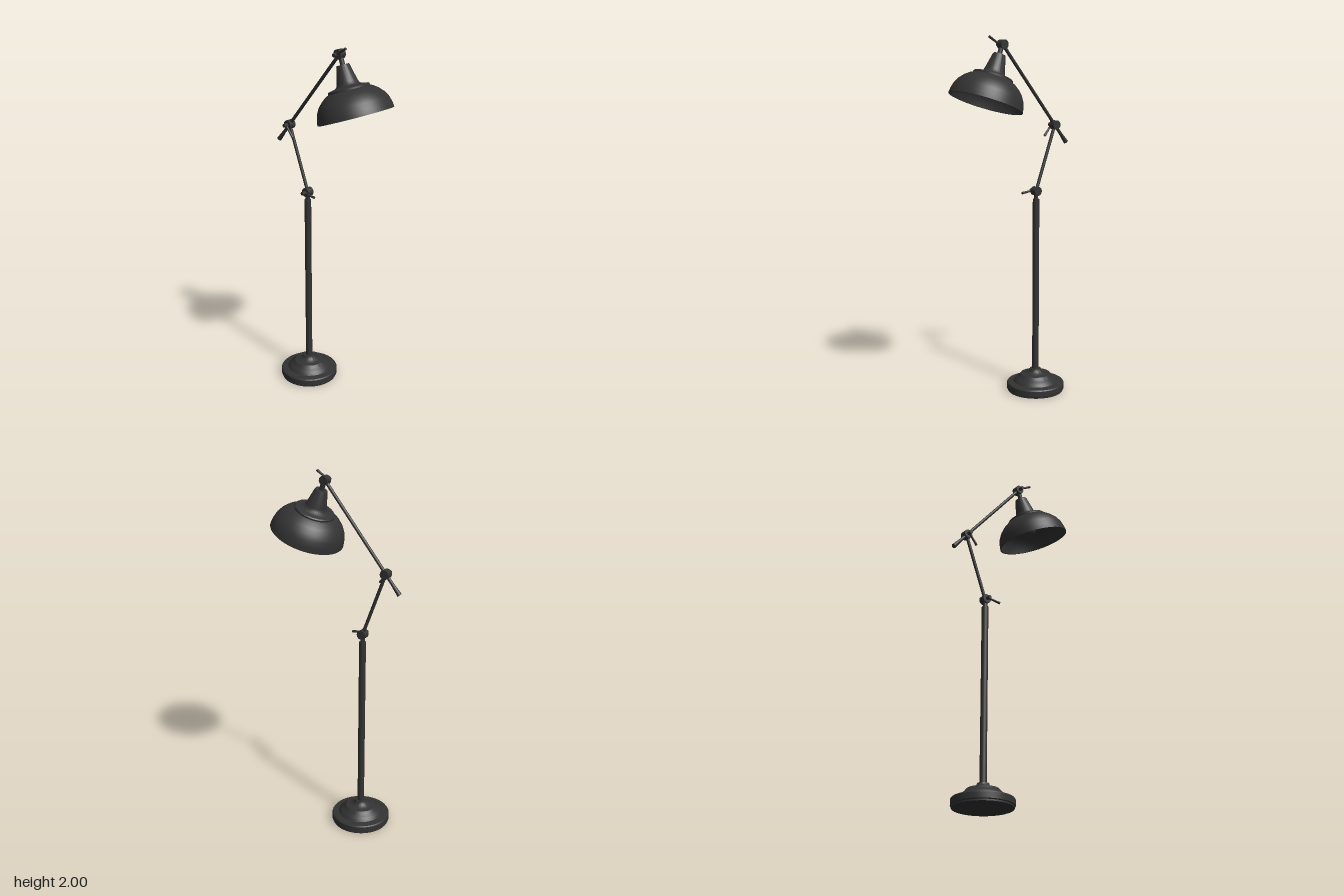
import * as THREE from 'three';
import { toCreasedNormals } from 'three/addons/utils/BufferGeometryUtils.js';

const metal = new THREE.MeshStandardMaterial({ color: 0x333333 });

function add(parent, name, geometry) {
  const mesh = new THREE.Mesh(geometry, metal);
  mesh.name = name;
  parent.add(mesh);
  return mesh;
}

// Turned part from [radius, height] pairs, listed bottom to top on the outside
function turned(points, segments = 64) {
  const profile = points.map(([r, y]) => new THREE.Vector2(r, y));
  return toCreasedNormals(new THREE.LatheGeometry(profile, segments), 0.55);
}

// Round bar between two points, with a radius for each end
function bar(parent, name, from, to, r0, r1 = r0) {
  const a = new THREE.Vector3(...from), b = new THREE.Vector3(...to);
  const dir = b.clone().sub(a);
  const mesh = add(parent, name, new THREE.CylinderGeometry(r1, r0, dir.length(), 24));
  mesh.position.copy(a).add(b).multiplyScalar(0.5);
  mesh.quaternion.setFromUnitVectors(new THREE.Vector3(0, 1, 0), dir.normalize());
  return mesh;
}

// Pivot drum with a through bolt and a small tightening lever
function joint(parent, name, [x, y], leverAngle) {
  const g = new THREE.Group();
  g.name = name;
  g.position.set(x, y, 0);
  bar(g, 'drum', [0, 0, -0.02], [0, 0, 0.02], 0.025);
  bar(g, 'bolt', [0, 0, 0.015], [0, 0, 0.046], 0.01);
  const c = Math.cos(leverAngle), s = Math.sin(leverAngle);
  bar(g, 'lever', [0, 0, 0.028], [0.078 * c, 0.078 * s, 0.028], 0.005, 0.007);
  parent.add(g);
}

export function createModel() {
  const lamp = new THREE.Group();
  lamp.name = 'floorLamp';
  const baseX = -0.157;
  const knee = [baseX, 1.155, 0], elbow = [-0.29, 1.515, 0], head = [0.076, 1.955, 0];

  // Stepped base
  const base = add(lamp, 'base', turned([
    [0, 0], [0.158, 0], [0.158, 0.008], [0.163, 0.012], [0.163, 0.042], [0.159, 0.048], [0.145, 0.05],
    [0.125, 0.053], [0.12, 0.06], [0.115, 0.067], [0.103, 0.076], [0.093, 0.084], [0.088, 0.092],
    [0.084, 0.096], [0.06, 0.099], [0.047, 0.104], [0.038, 0.112], [0.033, 0.118], [0.031, 0.126], [0, 0.126],
  ]));
  base.position.x = baseX;

  // Pole and the stem above it
  bar(lamp, 'pole', [baseX, 0.12, 0], [baseX, 1.11, 0], 0.0185);
  bar(lamp, 'poleStem', [baseX, 1.1, 0], knee, 0.012);

  // Arms
  bar(lamp, 'lowerArm', knee, elbow, 0.009);
  bar(lamp, 'upperArm', elbow, head, 0.009);
  const along = (d) => [elbow[0] - 0.639 * d, elbow[1] - 0.769 * d, 0];
  bar(lamp, 'armTail', elbow, along(0.08), 0.009);
  bar(lamp, 'armGrip', along(0.065), along(0.13), 0.009, 0.013);

  // Pivots
  joint(lamp, 'lowerJoint', knee, -0.1);
  joint(lamp, 'middleJoint', elbow, -0.88);
  joint(lamp, 'upperJoint', head, 0.54);

  // Tilted lamp head, origin at the centre of the rim
  const shadeGroup = new THREE.Group();
  shadeGroup.name = 'lampHead';
  shadeGroup.position.set(0.19, 1.652, 0);
  shadeGroup.rotation.z = 0.353;
  lamp.add(shadeGroup);

  // Shade: inner wall from the top down, round the rim, then outer wall up to the cap
  add(shadeGroup, 'shade', turned([
    [0, 0.137], [0.1, 0.134], [0.122, 0.122], [0.146, 0.105], [0.167, 0.082], [0.183, 0.056],
    [0.192, 0.028], [0.196, 0], [0.202, 0], [0.198, 0.028], [0.189, 0.059], [0.173, 0.087], [0.15, 0.112],
    [0.126, 0.13], [0.109, 0.138], [0.109, 0.146], [0.104, 0.151], [0.085, 0.154], [0.069, 0.158],
    [0.06, 0.165], [0.055, 0.178], [0.035, 0.262], [0.032, 0.268], [0, 0.268],
  ]));
  bar(shadeGroup, 'shadeStem', [0, 0.26, 0], [0, 0.32, 0], 0.013);

  // Socket and bulb
  add(shadeGroup, 'socket', turned([
    [0, 0.094], [0.026, 0.094], [0.026, 0.108], [0.042, 0.112], [0.042, 0.14], [0, 0.14],
  ], 32));
  add(shadeGroup, 'bulb', turned([
    [0, 0.03], [0.011, 0.032], [0.021, 0.038], [0.028, 0.048], [0.03, 0.06],
    [0.027, 0.072], [0.02, 0.083], [0.016, 0.098],
  ], 32));

  return lamp;
}
